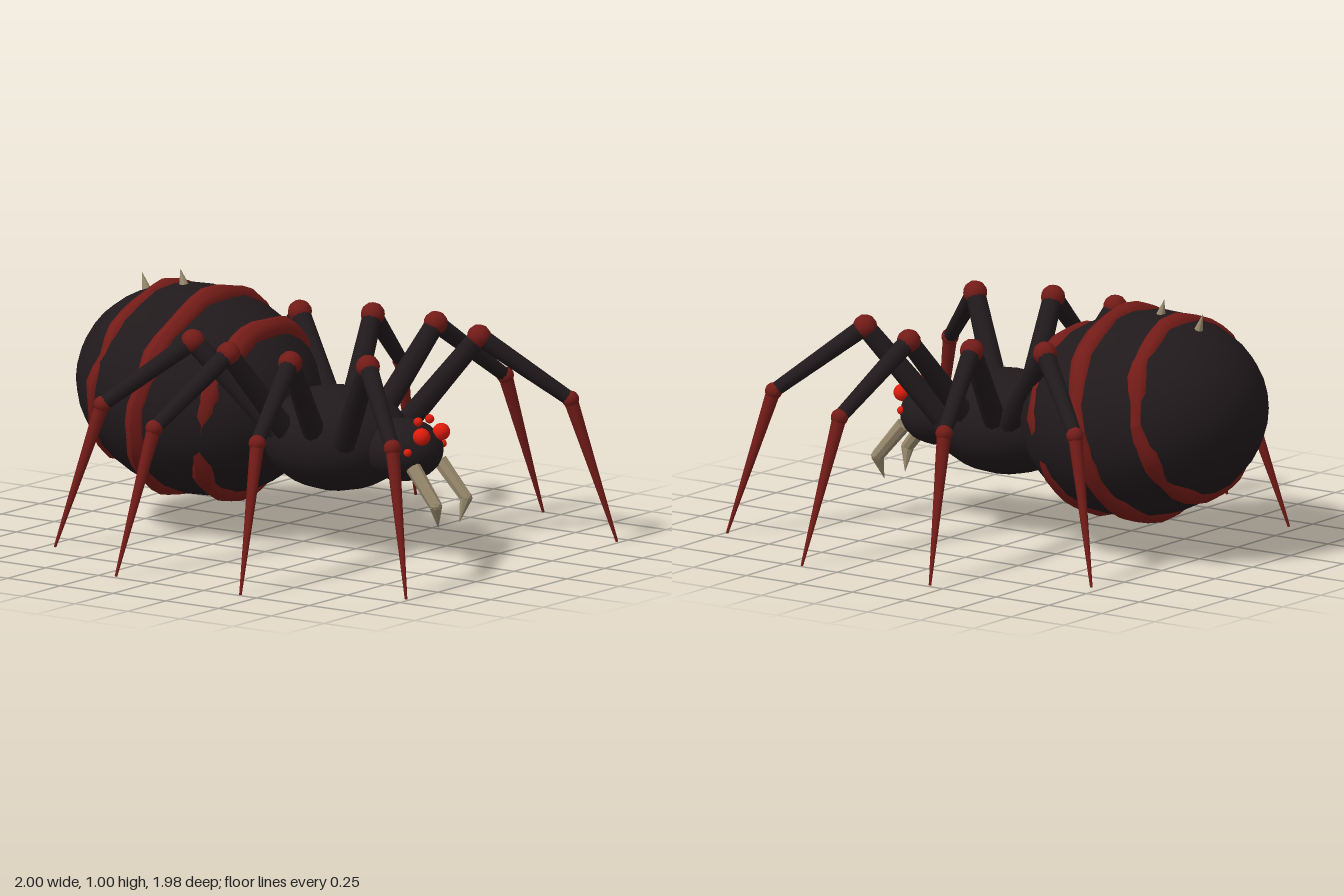
import * as THREE from 'three';

const mat = (color, flatShading = false) => new THREE.MeshStandardMaterial({ color, flatShading });
const V = (x, y, z) => new THREE.Vector3(x, y, z);

export function createModel() {
  const model = new THREE.Group();
  const dark = mat(0x211a1c), red = mat(0x741c18), eyeRed = mat(0xe01c0c), bone = mat(0x988a6e, true);

  function add(parent, name, geometry, material) {
    const mesh = new THREE.Mesh(geometry, material);
    mesh.name = name;
    parent.add(mesh);
    return mesh;
  }

  // Ellipsoid with its poles along z
  function ellipsoid(parent, name, pos, radii, material, w = 24, h = 16) {
    const g = new THREE.SphereGeometry(1, w, h).rotateX(Math.PI / 2).scale(...radii);
    const mesh = add(parent, name, g, material);
    mesh.position.set(...pos);
    return mesh;
  }

  // Tapered rod from a to b
  function rod(parent, name, a, b, ra, rb, material, sides = 10) {
    const d = b.clone().sub(a);
    const mesh = add(parent, name, new THREE.CylinderGeometry(rb, ra, d.length(), sides), material);
    mesh.position.copy(a).addScaledVector(d, 0.5);
    mesh.quaternion.setFromUnitVectors(V(0, 1, 0), d.normalize());
    return mesh;
  }

  // Body
  ellipsoid(model, 'thorax', [0, 0.425, 0.16], [0.265, 0.203, 0.3], dark);
  ellipsoid(model, 'head', [0, 0.415, 0.475], [0.155, 0.122, 0.155], dark, 20, 14);
  const mark = ellipsoid(model, 'thoraxMark', [0, 0.568, 0.365], [0.036, 0.008, 0.016], red, 8, 6);
  mark.rotation.set(0.65, 0.2, 0);

  // Abdomen, tilted with its rear raised
  const abdomen = new THREE.Group();
  abdomen.name = 'abdomen';
  abdomen.position.set(0, 0.54, -0.49);
  abdomen.rotation.x = 0.21;
  model.add(abdomen);
  ellipsoid(abdomen, 'abdomenShell', [0, 0, 0], [0.44, 0.4, 0.5], dark);

  // Lumpy bands, partly sunk into the shell
  const bands = [[0.25, 0.325, 0.325], [0.01, 0.408, 0.378], [-0.225, 0.345, 0.32]];
  bands.forEach(([z, rx, ry], k) => {
    const g = new THREE.TorusGeometry(1, 0.5, 10, 36);
    const p = g.attributes.position;
    for (let i = 0; i < p.count; i++) {
      const a = Math.atan2(p.getY(i), p.getX(i));
      const out = (Math.hypot(p.getX(i), p.getY(i)) - 1) / 0.5;
      const lump = 0.05 * (1 + 0.08 * Math.sin(7 * a + k * 2) + 0.06 * Math.sin(12 * a + k));
      p.setXYZ(i, Math.cos(a) * (rx + out * lump), Math.sin(a) * (ry + out * lump),
        z + p.getZ(i) * 2 * lump + 0.006 * Math.sin(9 * a + k));
    }
    g.computeVertexNormals();
    add(abdomen, 'abdomenBand', g, red);
  });

  // Back spikes
  rod(model, 'backSpike', V(0, 0.91, -0.56), V(0, 1.0, -0.583), 0.027, 0, bone, 8);
  rod(model, 'backSpike', V(0, 0.865, -0.733), V(0, 0.965, -0.765), 0.027, 0, bone, 8);

  for (const s of [1, -1]) {
    const side = s > 0 ? 'left' : 'right';

    // Eyes
    for (const [x, y, z, r] of [[0.065, 0.49, 0.608, 0.034], [0.038, 0.54, 0.572, 0.018], [0.115, 0.432, 0.578, 0.016]])
      ellipsoid(model, side + 'Eye', [s * x, y, z], [r, r, r], eyeRed, 14, 10);

    // Fangs
    const root = V(s * 0.088, 0.37, 0.585), bend = V(s * 0.1, 0.235, 0.7), point = V(s * 0.068, 0.14, 0.69);
    rod(model, side + 'FangBase', root, bend, 0.03, 0.025, bone, 8);
    rod(model, side + 'FangTip', bend, point, 0.026, 0, bone, 8);
    ellipsoid(model, side + 'FangJoint', bend.toArray(), [0.025, 0.025, 0.025], bone, 8, 6);

    // Legs: hip, knee, ankle, tip
    const legs = [
      [[0.19, 0.45, 0.33], [0.365, 0.81, 0.57], [0.585, 0.56, 0.845], [0.693, 0, 0.988]],
      [[0.19, 0.45, 0.2], [0.478, 0.81, 0.283], [0.815, 0.56, 0.37], [0.995, 0, 0.42]],
      [[0.19, 0.45, 0.075], [0.475, 0.81, -0.013], [0.812, 0.56, -0.122], [0.985, 0, -0.178]],
      [[0.18, 0.45, 0.03], [0.352, 0.81, -0.27], [0.552, 0.56, -0.555], [0.655, 0, -0.705]],
    ];
    legs.forEach((pts, i) => {
      const leg = new THREE.Group();
      leg.name = `${side}Leg${i + 1}`;
      model.add(leg);
      const [hip, knee, ankle, tip] = pts.map(([x, y, z]) => V(s * x, y, z));
      rod(leg, 'upperLeg', hip, knee, 0.046, 0.038, dark);
      rod(leg, 'middleLeg', knee, ankle, 0.037, 0.028, dark);
      rod(leg, 'lowerLeg', ankle, tip, 0.028, 0.005, red);
      ellipsoid(leg, 'kneeJoint', knee.toArray(), [0.047, 0.047, 0.047], red, 12, 8);
      ellipsoid(leg, 'ankleJoint', ankle.toArray(), [0.034, 0.034, 0.034], red, 12, 8);
    });
  }
  return model;
}
